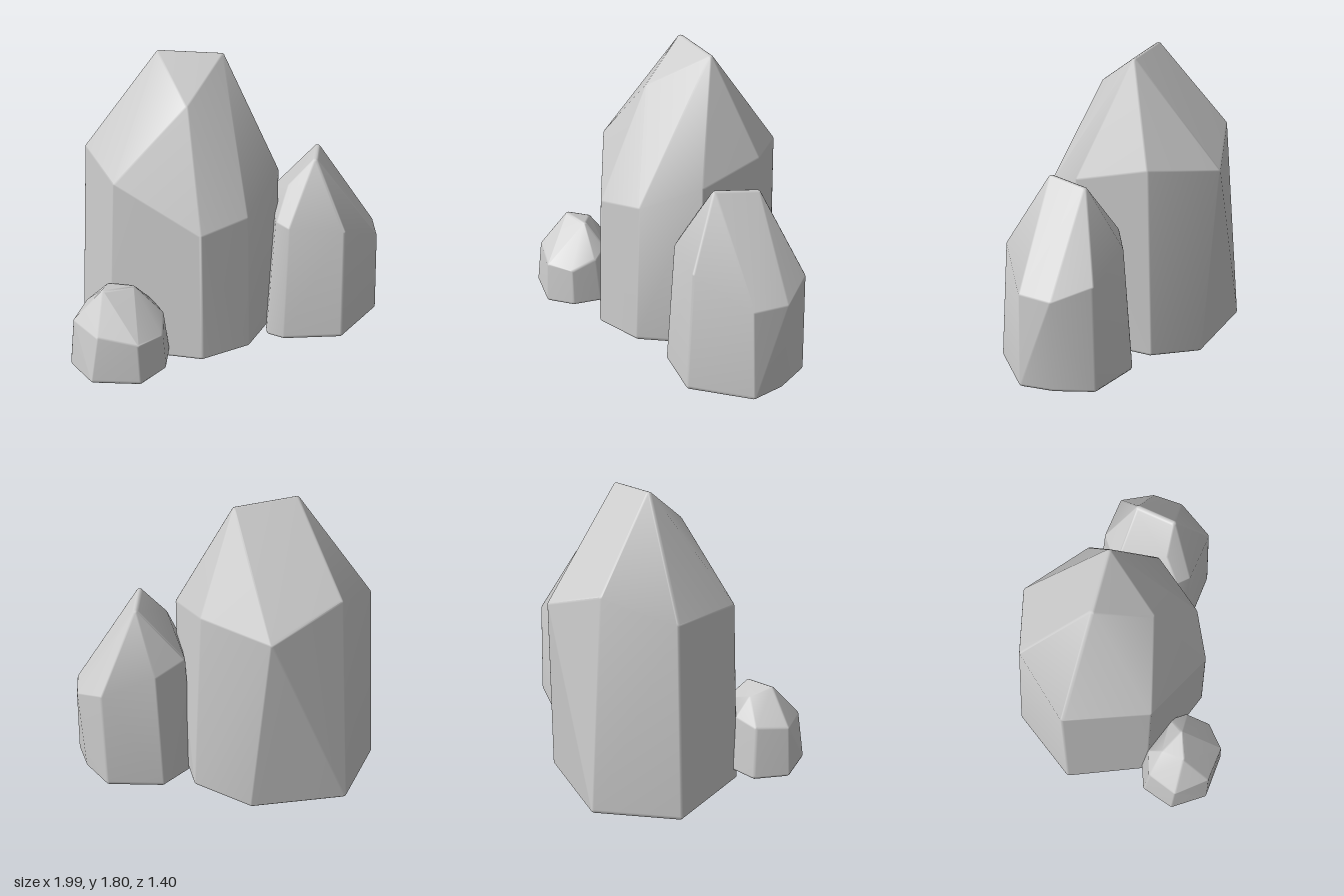
import * as THREE from 'three';
import { ConvexGeometry } from 'three/addons/geometries/ConvexGeometry.js';
import { mergeVertices } from 'three/addons/utils/BufferGeometryUtils.js';

const BEVEL = 0.022;

// Directions of a small ball, used to soften every corner of a rock
function ballDirections() {
  const g = new THREE.IcosahedronGeometry(1, 1);
  g.deleteAttribute('normal');
  g.deleteAttribute('uv');
  const pos = mergeVertices(g, 1e-4).attributes.position;
  return Array.from({ length: pos.count }, (_, i) => new THREE.Vector3().fromBufferAttribute(pos, i));
}

// Convex boulder with bevelled edges; base, shoulder and crown are lists of [x, y, z] corners
function makeRock(name, { base, shoulder, crown }) {
  const dirs = ballDirections();
  const cx = base.reduce((s, p) => s + p[0], 0) / base.length;
  const cz = base.reduce((s, p) => s + p[2], 0) / base.length;
  const points = [];
  const addRing = (ring, lift) => {
    for (const [x, y, z] of ring) {
      // Pull the corner in by the bevel radius so the overall size stays put
      const inward = new THREE.Vector3(cx - x, 0, cz - z).normalize().multiplyScalar(BEVEL);
      const corner = new THREE.Vector3(x, y + lift, z).add(inward);
      for (const d of dirs) points.push(corner.clone().addScaledVector(d, BEVEL));
    }
  };
  addRing(base, BEVEL);
  addRing(shoulder, 0);
  addRing(crown, -BEVEL);

  // Area-weighted normals keep the large facets flat and the bevels soft
  let geometry = new ConvexGeometry(points);
  geometry.deleteAttribute('normal');
  geometry = mergeVertices(geometry, 1e-5);
  geometry.computeVertexNormals();
  const mesh = new THREE.Mesh(geometry, new THREE.MeshStandardMaterial({ color: 0xcccccc }));
  mesh.name = name;
  return mesh;
}

export function createModel() {
  const group = new THREE.Group();
  group.name = 'rockCluster';

  // Tall rock at the back
  group.add(makeRock('largeRock', {
    base: [
      [-0.24, 0, -0.7], [0.3, 0.01, -0.46], [0.51, 0.08, -0.16], [0.35, 0.09, 0.3],
      [0.03, 0.1, 0.53], [-0.28, 0.1, 0.53], [-0.7, 0.03, 0.1], [-0.68, 0, -0.43],
    ],
    shoulder: [
      [-0.23, 1.3, -0.59], [0.22, 1.14, -0.54], [0.42, 1.19, -0.13], [0.34, 1.11, 0.28],
      [0.03, 0.96, 0.48], [-0.27, 0.92, 0.49], [-0.63, 1.15, 0.1], [-0.61, 1.18, -0.4],
      [-0.2, 1.56, 0.17],
    ],
    crown: [[-0.23, 1.8, -0.18], [0.14, 1.77, -0.04]],
  }));

  // Medium rock on the left side
  group.add(makeRock('mediumRock', {
    base: [
      [0.67, 0.08, -0.06], [0.41, 0.06, 0.02], [0.21, 0.07, 0.44], [0.27, 0.07, 0.52],
      [0.58, 0.1, 0.7], [0.94, 0.11, 0.54], [0.985, 0.11, 0.35], [0.96, 0.1, 0.12],
      [0.58, 0.06, 0.55],
    ],
    shoulder: [
      [0.66, 0.82, -0.01], [0.44, 0.85, 0.03], [0.27, 0.83, 0.4], [0.3, 0.82, 0.48],
      [0.58, 0.81, 0.65], [0.91, 0.65, 0.53], [1.0, 0.65, 0.35], [0.95, 0.72, 0.13],
      [0.37, 1.02, 0.34],
    ],
    crown: [[0.5, 1.2, 0.4], [0.66, 1.18, 0.18]],
  }));

  // Small rock on the right side
  group.add(makeRock('smallRock', {
    base: [
      [-0.99, 0.1, 0.22], [-0.85, 0.1, 0.06], [-0.66, 0.1, 0.07], [-0.45, 0.1, 0.26],
      [-0.43, 0.12, 0.38], [-0.52, 0.12, 0.53], [-0.7, 0.11, 0.59], [-0.95, 0.11, 0.45],
    ],
    shoulder: [
      [-0.96, 0.41, 0.23], [-0.83, 0.42, 0.09], [-0.68, 0.44, 0.1], [-0.49, 0.44, 0.27],
      [-0.46, 0.4, 0.38], [-0.53, 0.35, 0.52], [-0.7, 0.36, 0.57], [-0.9, 0.4, 0.45],
      [-0.72, 0.55, 0.17],
    ],
    crown: [[-0.81, 0.61, 0.29], [-0.6, 0.6, 0.31]],
  }));

  return group;
}
